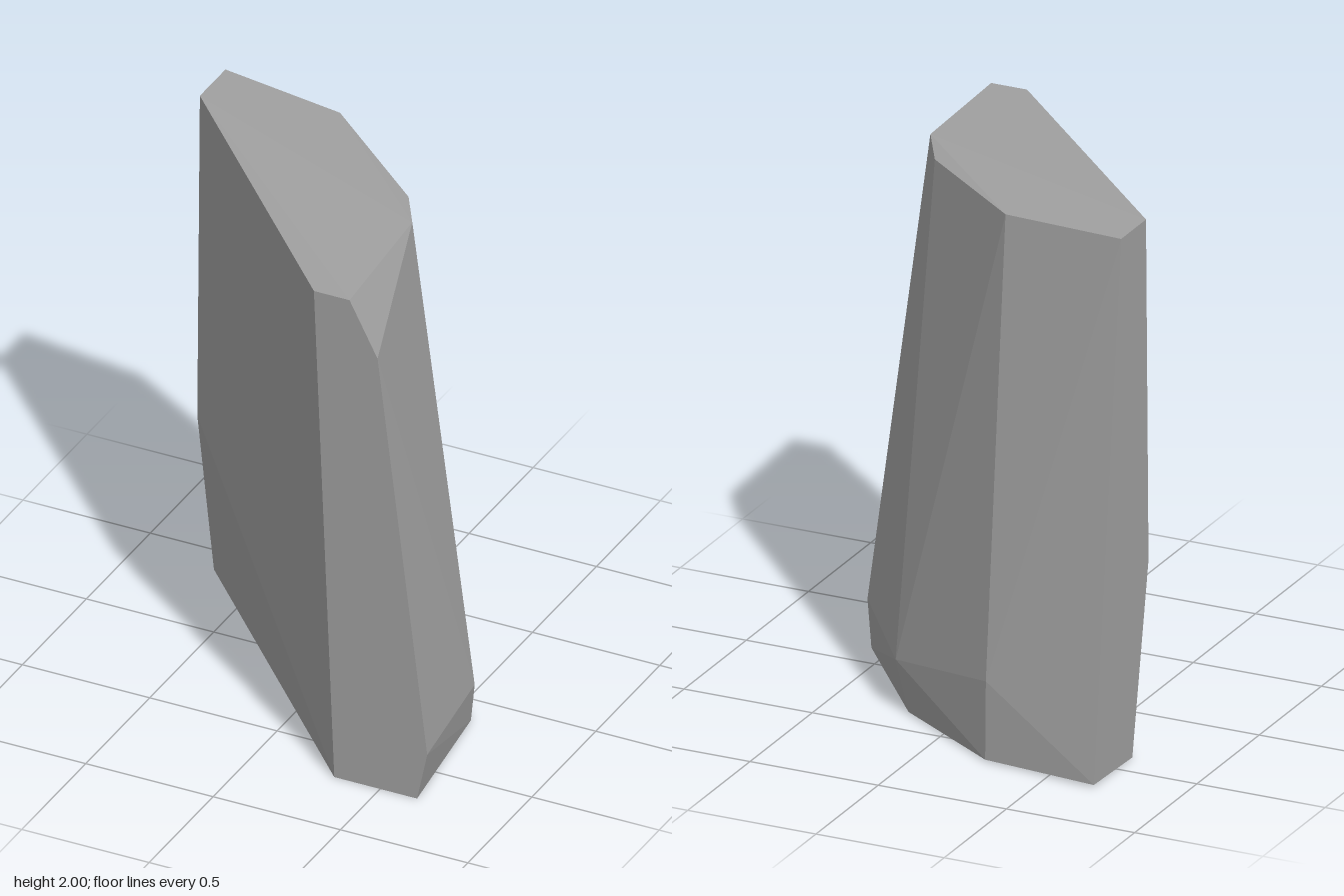
import * as THREE from 'three';
import { ConvexGeometry } from 'three/addons/geometries/ConvexGeometry.js';

export function createModel() {
  const model = new THREE.Group();
  model.name = 'rockSlab';

  const stone = new THREE.MeshStandardMaterial({ color: 0xa0a0a0 });
  stone.name = 'greyStone';

  // Rim of the nearly level top
  const topRim = [
    [-0.69, 2.0, -0.47], [-0.21, 1.985, -0.41], [0.25, 1.97, -0.03],
    [0.35, 1.985, 0.14], [0.38, 1.97, 0.69], [0.24, 1.97, 0.69], [-0.69, 2.0, -0.27],
  ];
  // Corners where the sides bulge or are chipped
  const sideCorners = [
    [0.49, 1.76, 0.69], [0.685, 0.19, 0.69], [0.605, 0.17, 0.16],
    [0.25, 0.19, -0.345], [-0.24, 0.3, -0.63], [-0.69, 0.7, -0.25],
  ];
  // Rim of the foot
  const footRim = [
    [0.645, 0, 0.69], [0.575, 0, 0.13], [0.2, 0, -0.345], [-0.24, 0.005, -0.635],
    [-0.69, 0.01, -0.69], [-0.69, 0, -0.38], [0.32, 0, 0.69],
  ];

  // One faceted convex stone spanning all corners
  const corners = [...topRim, ...sideCorners, ...footRim].map((p) => new THREE.Vector3(...p));
  const slab = new THREE.Mesh(new ConvexGeometry(corners), stone);
  slab.name = 'stoneSlab';
  model.add(slab);

  return model;
}
